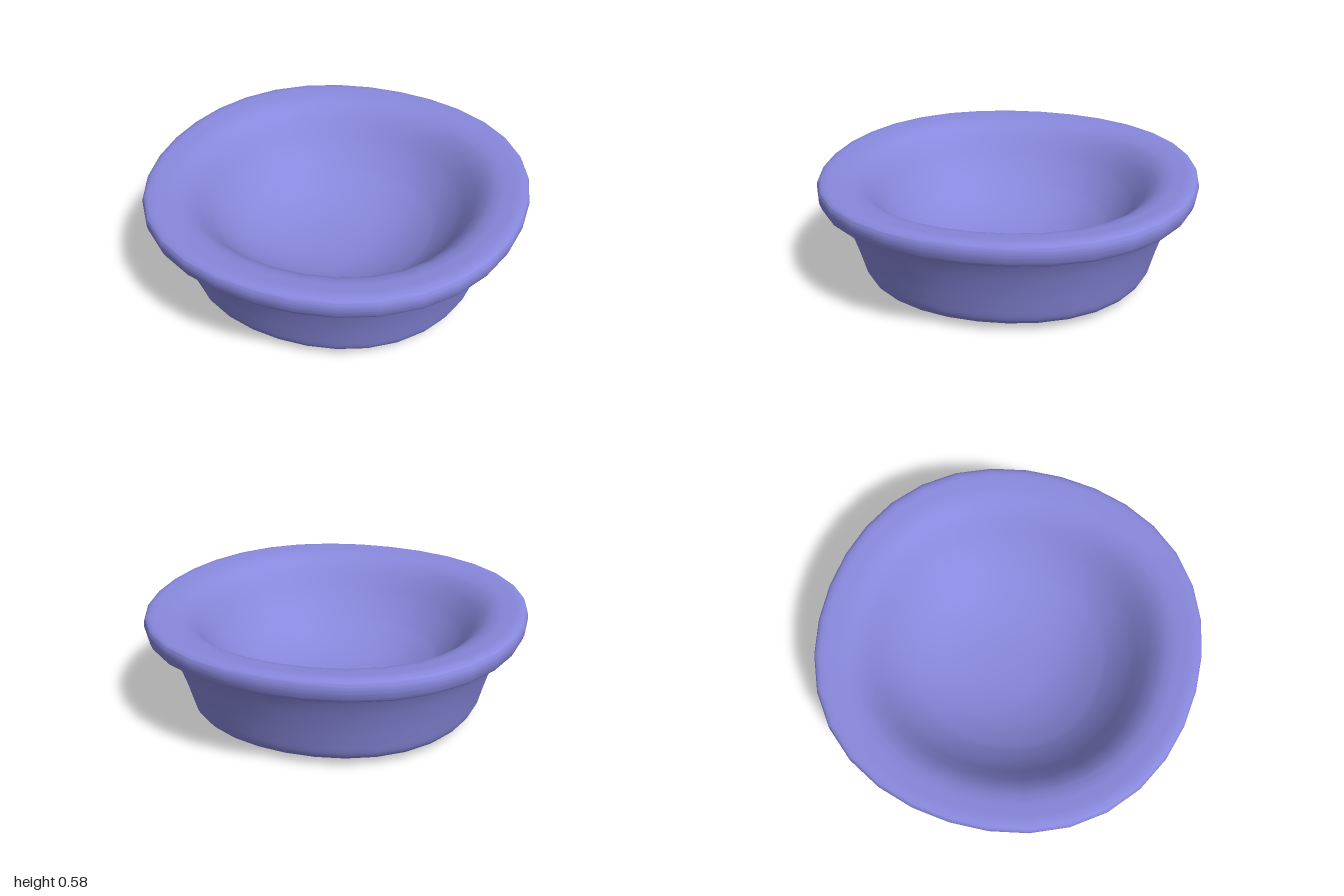
import * as THREE from 'three';
import { toCreasedNormals } from 'three/addons/utils/BufferGeometryUtils.js';

const material = new THREE.MeshStandardMaterial({ color: 0x8888dd });

// Smooth curve through [radius, height] points
function curve(points, steps) {
  const pts = points.map(([r, y]) => new THREE.Vector2(r, y));
  return new THREE.SplineCurve(pts).getPoints(steps)
    .map(p => new THREE.Vector2(Math.max(p.x, 0), Math.max(p.y, 0)));
}

// Turn a profile in 32 steps, bulging slightly on the diagonals
function turned(name, profile) {
  const geometry = new THREE.LatheGeometry(profile, 32);
  const pos = geometry.attributes.position;
  for (let i = 0; i < pos.count; i++) {
    const x = pos.getX(i), z = pos.getZ(i);
    const k = 1 + 0.028 * Math.sin(2 * Math.atan2(x, z)) ** 2;
    pos.setX(i, x * k);
    pos.setZ(i, z * k);
  }
  geometry.deleteAttribute('uv');
  const mesh = new THREE.Mesh(toCreasedNormals(geometry, 0.9), material);
  mesh.name = name;
  return mesh;
}

export function createModel() {
  const bowl = new THREE.Group();
  bowl.name = 'bowl';

  // Underside, rounded foot and outer wall flaring up behind the rim
  const outside = curve([
    [0, 0], [0.3, 0.004], [0.55, 0.012], [0.68, 0.022], [0.745, 0.04], [0.778, 0.075],
    [0.8, 0.15], [0.825, 0.24], [0.86, 0.345], [0.893, 0.42], [0.92, 0.463], [0.955, 0.495],
  ], 44);

  // Overhanging rim, gently sloping inwards, then the soft round hollow
  const lip = curve([
    [0.972, 0.465], [0.985, 0.472], [0.997, 0.505], [1, 0.535], [0.99, 0.565],
    [0.955, 0.577], [0.9, 0.573], [0.85, 0.565], [0.8, 0.545], [0.75, 0.505],
    [0.7, 0.447], [0.65, 0.384], [0.6, 0.33], [0.55, 0.284], [0.5, 0.247],
    [0.4, 0.193], [0.3, 0.157], [0.2, 0.135], [0.1, 0.125], [0, 0.122],
  ], 76);

  bowl.add(turned('bowlBody', [...outside, ...lip]));
  return bowl;
}
